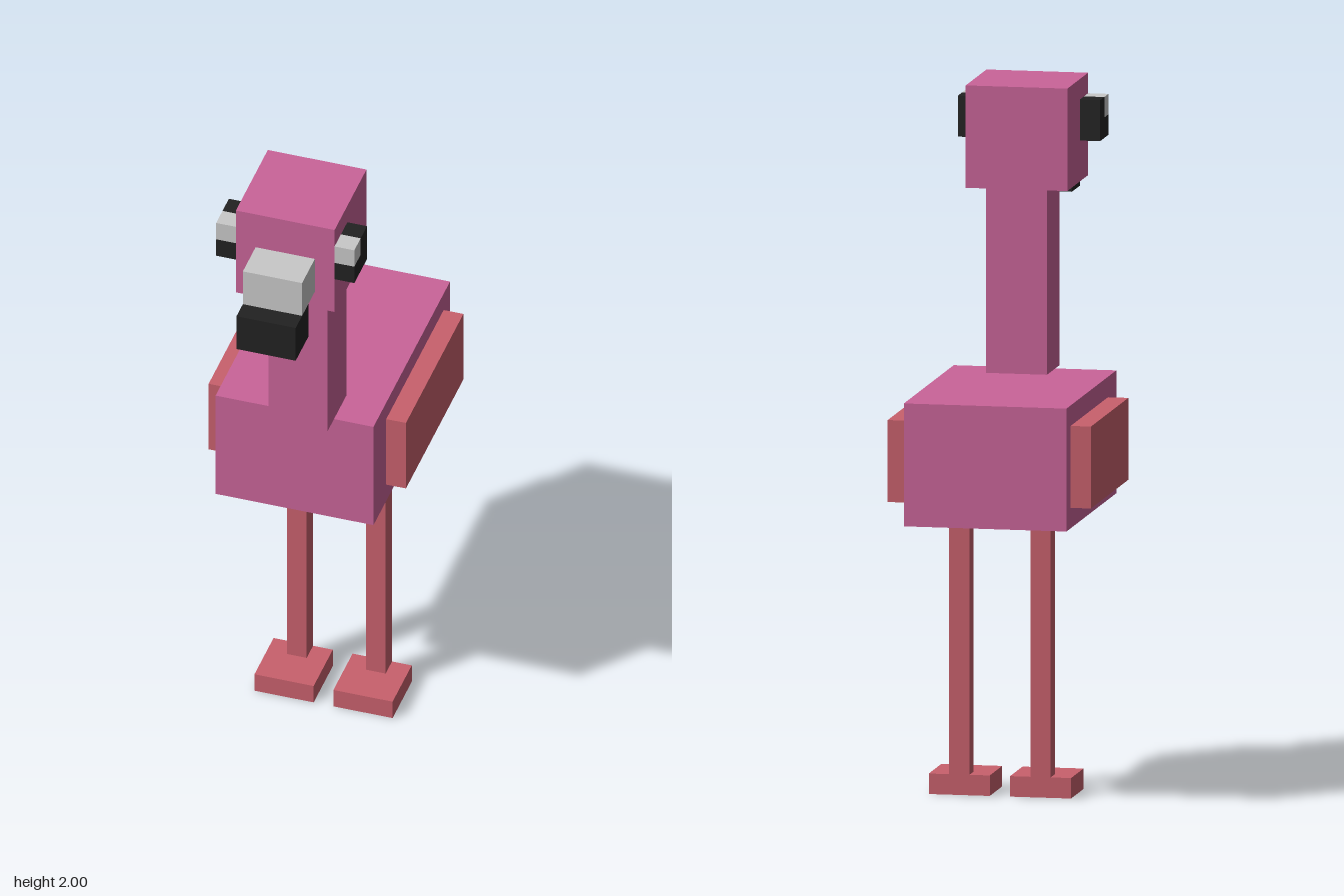
import * as THREE from 'three';

const U = 2 / 34; // one block unit; the bird is 34 units tall

function material(name, color) {
  const m = new THREE.MeshStandardMaterial({ color });
  m.name = name;
  return m;
}

export function createModel() {
  const pink = material('pink', 0xca6499);
  const coral = material('coral', 0xc9616d);
  const grey = material('light grey', 0xc9c9c9);
  const black = material('black', 0x222222);

  const model = new THREE.Group();
  model.name = 'wadingBird';

  // Box from its minimum and maximum corners, in block units
  function block(name, mat, [x0, x1], [y0, y1], [z0, z1], parent = model) {
    const geometry = new THREE.BoxGeometry((x1 - x0) * U, (y1 - y0) * U, (z1 - z0) * U);
    const mesh = new THREE.Mesh(geometry, mat);
    mesh.position.set((x0 + x1) / 2 * U, (y0 + y1) / 2 * U, (z0 + z1) / 2 * U);
    mesh.name = name;
    parent.add(mesh);
  }

  // Body, neck and head (neck and head sit half a unit off centre)
  block('body', pink, [-4, 4], [14, 20], [-9, 3]);
  block('neck', pink, [-1, 2], [20, 29], [1, 4]);
  block('head', pink, [-2, 3], [29, 34], [1, 6]);

  // Beak with a dark, drooping tip
  block('beak', grey, [-1, 2], [30, 32], [6, 8]);
  block('beakTip', black, [-1, 2], [28, 30], [7, 9]);

  // Wings, eyes, legs and feet on each side
  const sides = [
    { side: 'left', wing: [4, 5], eye: [3, 4], leg: [2, 3], foot: [1, 4] },
    { side: 'right', wing: [-5, -4], eye: [-3, -2], leg: [-2, -1], foot: [-3, 0] },
  ];
  for (const { side, wing, eye, leg, foot } of sides) {
    block(side + 'Wing', coral, wing, [15, 19], [-8, 1]);

    // Eye: a dark L around a light front corner
    const eyeGroup = new THREE.Group();
    eyeGroup.name = side + 'Eye';
    block('eyeBack', black, eye, [31, 33], [4, 5], eyeGroup);
    block('eyeBottom', black, eye, [31, 32], [5, 6], eyeGroup);
    block('eyeHighlight', grey, eye, [32, 33], [5, 6], eyeGroup);
    model.add(eyeGroup);

    block(side + 'Leg', coral, leg, [1, 14], [-3, -2]);
    block(side + 'Foot', coral, foot, [0, 1], [-3, 0]);
  }

  return model;
}
